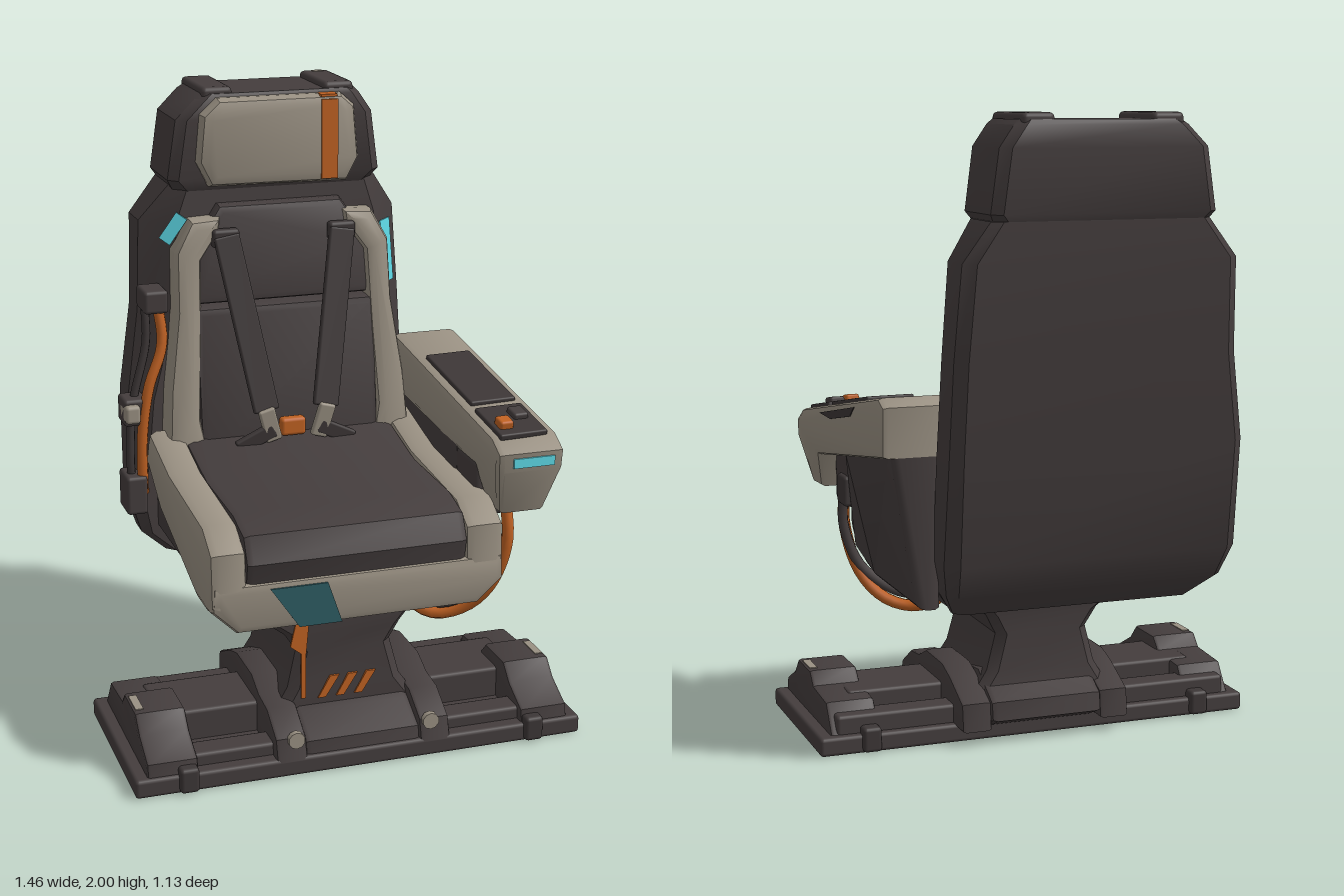
import * as THREE from 'three';
import { toCreasedNormals } from 'three/addons/utils/BufferGeometryUtils.js';
import { RoundedBoxGeometry } from 'three/addons/geometries/RoundedBoxGeometry.js';

const paint = (name, color) => Object.assign(new THREE.MeshStandardMaterial({ color }), { name });
const V = (p) => new THREE.Vector3(...p);

export function createModel() {
  const dark = paint('charcoal', 0x443d3d);
  const black = paint('blackTrim', 0x3c3636);
  const beige = paint('beige', 0x999082);
  const orange = paint('orange', 0xbf6122);
  const cyan = paint('cyan', 0x66eaf8);
  const teal = paint('teal', 0x2e5c63);
  const model = new THREE.Group();
  model.name = 'cockpitSeat';

  const add = (name, mat, geo) => {
    const mesh = new THREE.Mesh(geo, mat);
    mesh.name = name;
    model.add(mesh);
    return mesh;
  };
  // rounded box from centre and size
  const box = (name, mat, [x, y, z], [w, h, d], r = 0.012, rot = [0, 0, 0]) => {
    const m = add(name, mat, r ? new RoundedBoxGeometry(w, h, d, 2, r) : new THREE.BoxGeometry(w, h, d));
    m.position.set(x, y, z);
    m.rotation.set(...rot, 'YXZ');
    return m;
  };
  const extrude = (pts, depth, b) => new THREE.ExtrudeGeometry(
    new THREE.Shape(pts.map(([u, v]) => new THREE.Vector2(u, v))),
    { depth: depth - 2 * b, bevelEnabled: b > 0, bevelSize: b, bevelThickness: b, bevelOffset: -b, bevelSegments: 2 }
  ).translate(0, 0, b);
  // move every vertex by a rule
  const bend = (geo, rule) => {
    const p = geo.attributes.position, v = new THREE.Vector3();
    for (let i = 0; i < p.count; i++) {
      rule(v.fromBufferAttribute(p, i));
      p.setXYZ(i, v.x, v.y, v.z);
    }
    return geo;
  };
  // outline in (z, y), extruded across x
  const side = (name, mat, pts, x0, x1, b = 0.02, rule = () => {}) =>
    add(name, mat, toCreasedNormals(bend(extrude(pts, x1 - x0, b).rotateY(-Math.PI / 2).translate(x1, 0, 0), rule), 0.6));
  // outline in (x, y), extruded along z
  const front = (name, mat, pts, z0, z1, b = 0.02, rule = () => {}) =>
    add(name, mat, toCreasedNormals(bend(extrude(pts, z1 - z0, b).translate(0, 0, z0), rule), 0.6));
  // stacked chamfered rings: [y, xLeft, xRight, zFront, zBack, frontChamfer, backChamfer]
  const loft = (name, mat, rows) => {
    const rings = rows.map(([y, l, r, f, k, c, e = c]) => [
      [l + c, y, f], [r - c, y, f], [r, y, f - c], [r, y, k + e],
      [r - e, y, k], [l + e, y, k], [l, y, k + e], [l, y, f - c]]);
    const out = [], tri = (...t) => t.forEach((p) => out.push(...p));
    for (let i = 0; i + 1 < rings.length; i++) for (let j = 0; j < 8; j++) {
      const n = (j + 1) % 8, [a, b, c, d] = [rings[i][j], rings[i][n], rings[i + 1][n], rings[i + 1][j]];
      tri(a, b, c, a, c, d);
    }
    const top = rings[rings.length - 1], low = rings[0];
    for (let j = 1; j < 7; j++) { tri(top[0], top[j], top[j + 1]); tri(low[0], low[j + 1], low[j]); }
    const g = new THREE.BufferGeometry();
    g.setAttribute('position', new THREE.Float32BufferAttribute(out, 3));
    return add(name, mat, toCreasedNormals(g, 0.6));
  };
  const tube = (name, mat, pts, r) =>
    add(name, mat, new THREE.TubeGeometry(new THREE.CatmullRomCurve3(pts.map(V)), 24, r, 8));
  // flat strap from a lower to an upper point
  const strap = (name, mat, low, high, w, t) => {
    const p = V(low), q = V(high), d = q.clone().sub(p);
    const m = box(name, mat, p.clone().add(q).multiplyScalar(0.5).toArray(), [w, d.length(), t], t * 0.3);
    m.quaternion.setFromUnitVectors(new THREE.Vector3(0, 1, 0), d.normalize());
  };
  const flip = (pts) => pts.map(([x, ...rest]) => [-0.05 - x, ...rest]); // about the seat's centre line

  // floor base with rails, bands and end blocks
  box('basePlate', dark, [0, 0.03, 0.235], [1.46, 0.06, 0.61]);
  box('middleRail', dark, [0, 0.105, 0.2], [1.2, 0.11, 0.24]);
  box('frontRail', dark, [0, 0.075, 0.45], [1.34, 0.05, 0.09]);
  box('backRail', dark, [0, 0.085, 0.0], [1.34, 0.07, 0.09]);
  for (const s of [-1, 1]) {
    const [a, b] = s > 0 ? [0.53, 0.69] : [-0.69, -0.53];
    side('endBlock', dark, [[0.53, 0.05], [0.52, 0.1], [0.42, 0.15], [0.37, 0.2], [0.22, 0.2], [0.18, 0.16], [0.02, 0.15], [-0.05, 0.05]], a, b, 0.012);
    box('wornEdge', beige, [s * 0.668, 0.2, 0.295], [0.025, 0.006, 0.1], 0);
    box('baseBand', black, [s * 0.565, 0.045, 0.235], [0.06, 0.08, 0.65]);
    side('railClamp', dark, [[0.54, 0.05], [0.52, 0.12], [0.42, 0.18], [0.33, 0.19], [0.25, 0.225], [0.08, 0.225], [0, 0.2], [-0.13, 0.14], [-0.14, 0.05]],
      s * 0.235 - 0.05, s * 0.235 + 0.05, 0.012);
    const bolt = add('clampBolt', beige, new THREE.CylinderGeometry(0.027, 0.027, 0.02, 10).rotateX(Math.PI / 2));
    bolt.position.set(s * 0.22, 0.115, 0.525);
  }
  side('pedestalFoot', dark, [[0.53, 0.05], [0.52, 0.1], [0.42, 0.155], [0.36, 0.18], [0, 0.22], [-0.14, 0.14], [-0.15, 0.08], [-0.08, 0.05]], -0.19, 0.19);

  // pedestal
  loft('pedestal', dark, [
    [0.15, -0.24, 0.22, 0.4, -0.08, 0.03], [0.22, -0.2, 0.17, 0.4, -0.07, 0.03], [0.34, -0.17, 0.14, 0.39, -0.07, 0.03],
    [0.4, -0.21, 0.17, 0.4, -0.07, 0.03], [0.46, -0.29, 0.22, 0.4, -0.08, 0.03], [0.52, -0.3, 0.23, 0.4, -0.1, 0.03]]);
  front('pedestalMark', orange, [[-0.2, 0.37], [-0.15, 0.33], [-0.14, 0.44], [-0.18, 0.455]], 0.397, 0.405, 0);
  front('pedestalStrip', orange, [[-0.165, 0.19], [-0.15, 0.19], [-0.15, 0.35], [-0.165, 0.35]], 0.397, 0.405, 0);
  for (const x of [-0.11, -0.05, 0.01])
    front('hazardStripe', orange, [[x, 0.185], [x + 0.025, 0.185], [x + 0.07, 0.255], [x + 0.04, 0.255]], 0.398, 0.406, 0);

  // backrest, wider on its right, and headrest
  loft('backShell', dark, [
    [0.48, -0.43, 0.36, -0.22, -0.3, 0.03], [0.55, -0.51, 0.4, -0.22, -0.36, 0.03], [0.65, -0.54, 0.42, -0.22, -0.41, 0.04],
    [1.0, -0.53, 0.42, -0.24, -0.465, 0.07, 0.035], [1.28, -0.48, 0.42, -0.26, -0.51, 0.1, 0.035],
    [1.57, -0.465, 0.405, -0.28, -0.545, 0.1, 0.035], [1.69, -0.37, 0.32, -0.29, -0.55, 0.05, 0.03]]);
  loft('headShell', dark, [
    [1.67, -0.36, 0.3, -0.29, -0.54, 0.04], [1.71, -0.385, 0.325, -0.27, -0.56, 0.03],
    [1.9, -0.355, 0.3, -0.27, -0.565, 0.03], [1.965, -0.29, 0.255, -0.27, -0.565, 0.03], [1.98, -0.27, 0.24, -0.28, -0.555, 0.03]]);
  for (const x of [-0.22, 0.185]) box('headEar', dark, [x, 1.965, -0.42], [0.1, 0.07, 0.27], 0.015);
  box('wornHeadEdge', beige, [0.19, 1.999, -0.525], [0.035, 0.006, 0.025], 0);
  front('headCushion', beige, [[-0.3, 1.77], [-0.285, 1.92], [-0.23, 1.97], [0.18, 1.97], [0.225, 1.93], [0.24, 1.76], [0.2, 1.685], [-0.26, 1.69]], -0.33, -0.222, 0.035);
  box('headStripe', orange, [0.133, 1.828, -0.221], [0.055, 0.255, 0.008], 0);
  box('headStripeTop', orange, [0.133, 1.9665, -0.247], [0.055, 0.008, 0.045], 0);

  // back cushions lean back with height
  const lean = (v) => { v.z -= 0.12 * (v.y - 0.9); };
  front('lowerBackCushion', dark, [[-0.33, 0.8], [0.28, 0.8], [0.28, 1.31], [-0.33, 1.31]], -0.3, -0.137, 0.025, lean);
  front('upperBackCushion', dark, [[-0.33, 1.315], [0.28, 1.315], [0.27, 1.5], [0.18, 1.63], [-0.23, 1.63], [-0.32, 1.5]], -0.3, -0.155, 0.025, lean);
  const wing = [[-0.35, 0.76], [-0.44, 0.84], [-0.425, 1.05], [-0.39, 1.3], [-0.385, 1.49], [-0.33, 1.59], [-0.23, 1.595],
    [-0.235, 1.55], [-0.3, 1.46], [-0.31, 1.2], [-0.325, 0.95], [-0.3, 0.82]];
  for (const pts of [wing, flip(wing)]) front('backBolster', beige, pts, -0.27, -0.13, 0.03, lean);
  box('cyanLightLeft', cyan, [0.364, 1.425, -0.322], [0.07, 0.21, 0.009], 0, [-0.085, Math.PI / 4, 0]);
  box('cyanLightRight', cyan, [-0.376, 1.558, -0.274], [0.042, 0.1, 0.009], 0, [-0.05, -0.35, -0.6]);

  // seat pan, cushion and beige surround
  loft('seatPan', dark, [
    [0.49, -0.4, 0.36, 0.4, -0.26, 0.04], [0.58, -0.46, 0.42, 0.45, -0.28, 0.04], [0.78, -0.46, 0.42, 0.45, -0.28, 0.04]]);
  side('seatCushion', dark, [[0.54, 0.63], [0.56, 0.72], [0.52, 0.8], [0.4, 0.83], [0.1, 0.835], [-0.2, 0.9], [-0.22, 0.63]], -0.385, 0.325, 0.025);
  const rim = [[0.5, 0.56], [0.56, 0.59], [0.55, 0.76], [0.45, 0.82], [0.05, 0.85], [-0.2, 0.91], [-0.24, 0.8], [-0.05, 0.68], [0.38, 0.56]];
  side('seatBolsterRight', beige, rim, -0.495, -0.375, 0.03);
  side('seatBolsterLeft', beige, rim, 0.315, 0.445, 0.03);
  front('frontBolster', beige, [[-0.485, 0.66], [-0.49, 0.58], [-0.41, 0.503], [0.36, 0.503], [0.445, 0.58], [0.44, 0.66]], 0.39, 0.56, 0.025);
  front('tealPatch', teal, [[-0.31, 0.64], [-0.13, 0.64], [-0.085, 0.508], [-0.22, 0.508]], 0.556, 0.564, 0);

  // harness
  const belt = [[-0.125, 0.98, -0.085], [-0.22, 1.54, -0.205]];
  const tongue = [[-0.1, 0.88, -0.085], [-0.13, 0.99, -0.075]];
  const lap = [[-0.22, 0.86, -0.09], [-0.1, 0.92, -0.08]];
  for (const f of [(p) => p, flip]) {
    strap('shoulderStrap', black, ...f(belt), 0.085, 0.025);
    strap('strapTongue', beige, ...f(tongue), 0.055, 0.025);
    strap('lapStrap', black, ...f(lap), 0.05, 0.025);
    box('strapAnchor', black, f([[-0.22, 1.53, -0.215]])[0], [0.09, 0.06, 0.04]);
  }
  box('buckle', orange, [-0.03, 0.915, -0.11], [0.085, 0.06, 0.04]);

  // armrest on the left side, drifting outward to the front, its nose narrowing downward
  const drift = (v) => {
    if (v.z > 0.35 && v.y < 0.93) v.x += (0.475 - v.x) * (0.93 - v.y) * 2;
    v.x += 0.06 * (v.z + 0.25);
  };
  side('armrest', beige, [[0.5, 0.77], [0.555, 0.92], [0.56, 0.98], [0.5, 1.02], [-0.24, 1.155], [-0.285, 1.13],
    [-0.28, 0.975], [0.37, 0.885], [0.41, 0.77]], 0.365, 0.585, 0.02, drift);
  side('armSideTrim', black, [[0.3, 1.035], [-0.04, 1.1], [0.0, 1.065], [0.19, 1.03]], 0.58, 0.588, 0, drift);
  const onArm = (z, lift) => 1.02 + 0.182 * (0.5 - z) + lift;
  const tilt = [0.18, 0.06, 0];
  box('armPad', black, [0.495, onArm(0.12, 0.003), 0.12], [0.155, 0.02, 0.35], 0.006, tilt);
  box('controlPanel', black, [0.51, onArm(0.42, 0.003), 0.42], [0.16, 0.02, 0.19], 0.006, tilt);
  box('controlKnob', dark, [0.54, onArm(0.4, 0.015), 0.4], [0.05, 0.03, 0.06], 0.008, tilt);
  box('controlButton', orange, [0.47, onArm(0.46, 0.02), 0.46], [0.045, 0.035, 0.05], 0.008, tilt);
  box('armLight', cyan, [0.53, 0.95, 0.56], [0.135, 0.03, 0.009], 0);
  side('armHousing', dark, [[0.19, 0.5], [0.25, 0.6], [0.25, 0.93], [-0.28, 1.02], [-0.28, 0.5]], 0.4, 0.555, 0.02,
    (v) => { if (v.x > 0.45 && v.y < 0.66) v.x -= (0.66 - v.y) * 0.55; });
  box('armBracket', dark, [0.475, 0.82, 0.315], [0.14, 0.19, 0.17], 0.02);
  box('cableSocket', black, [0.53, 0.78, 0.28], [0.06, 0.1, 0.09]);

  // cables under the armrest
  tube('orangeCable', orange, [[0.51, 0.78, 0.4], [0.51, 0.64, 0.42], [0.47, 0.48, 0.38], [0.4, 0.395, 0.33], [0.31, 0.37, 0.28], [0.24, 0.42, 0.2], [0.2, 0.5, 0.18]], 0.02);
  for (let i = 0; i < 4; i++) {
    const x = 0.52 - i * 0.035, z = 0.37 - i * 0.045;
    tube('darkCable', dark, [[x, 0.78, z], [x, 0.64, z + 0.02], [x - 0.06, 0.49 + i * 0.01, z], [0.32, 0.41 + i * 0.02, z - 0.07], [0.23, 0.5, z - 0.13]], 0.017);
  }

  // cable run down the right side of the backrest
  tube('sideCable', orange, [[-0.45, 1.37, -0.24], [-0.435, 1.2, -0.215], [-0.485, 1.06, -0.2], [-0.51, 0.9, -0.2], [-0.51, 0.7, -0.21]], 0.018);
  tube('sideCableDark', black, [[-0.48, 1.34, -0.26], [-0.48, 1.2, -0.25], [-0.53, 1.0, -0.24], [-0.545, 0.8, -0.23], [-0.53, 0.66, -0.25]], 0.014);
  box('cableClampTop', dark, [-0.455, 1.34, -0.25], [0.08, 0.075, 0.12]);
  box('cableClampMiddle', beige, [-0.545, 0.98, -0.21], [0.05, 0.06, 0.09]);
  box('cableBracket', dark, [-0.53, 0.98, -0.24], [0.08, 0.09, 0.1]);
  box('cableClampLow', dark, [-0.535, 0.7, -0.24], [0.07, 0.13, 0.12]);
  return model;
}
